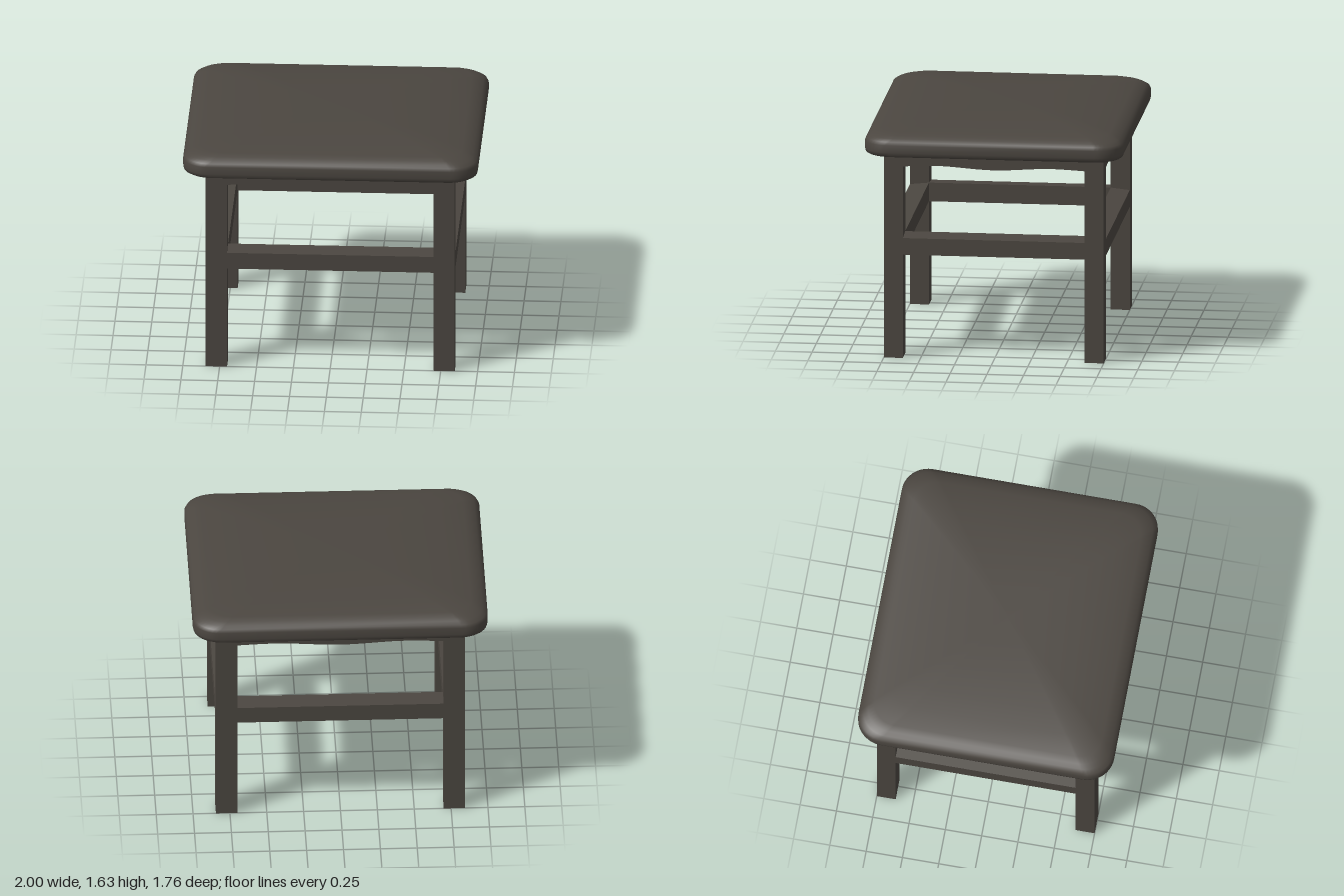
import * as THREE from 'three';

const LEG = { x0: 0.70, x1: 0.845, z0: 0.62, z1: 0.75 };
const SEAT_BOTTOM = 1.43;

// Rounded-rectangle outline of the seat in x and z
function seatOutline(halfX, halfZ, r, steps) {
  const signs = [[1, 1], [-1, 1], [-1, -1], [1, -1]];
  const points = [];
  signs.forEach(([sx, sz], k) => {
    for (let i = 0; i <= steps; i++) {
      const a = (k + i / steps) * Math.PI / 2;
      points.push([sx * (halfX - r) + r * Math.cos(a), sz * (halfZ - r) + r * Math.sin(a)]);
    }
  });
  return points;
}

// Padded seat: the outline scaled through a profile of [scale, height]
function cushionGeometry() {
  const outline = seatOutline(1, 0.88, 0.18, 10);
  const profile = [
    [0, 1.43], [0.93, 1.43], [0.98, 1.431], [0.995, 1.442], [1, 1.465], [1, 1.515],
    [0.99, 1.537], [0.965, 1.555], [0.935, 1.57], [0.89, 1.585], [0.75, 1.602],
    [0.6, 1.615], [0.4, 1.625], [0.2, 1.629], [0, 1.63],
  ];
  const n = outline.length;
  const positions = [];
  const index = [];
  for (const [s, y] of profile) {
    for (const [x, z] of outline) positions.push(x * s, y, z * s);
  }
  for (let i = 0; i < profile.length - 1; i++) {
    for (let j = 0; j < n; j++) {
      const k = (j + 1) % n;
      const a = i * n + j, b = a + n, c = i * n + k, d = c + n;
      index.push(a, b, c, b, d, c);
    }
  }
  const geometry = new THREE.BufferGeometry();
  geometry.setAttribute('position', new THREE.Float32BufferAttribute(positions, 3));
  geometry.setIndex(index);
  geometry.computeVertexNormals();
  return geometry;
}

// Rail under the seat with a shallow waved lower edge, running along x
function apronGeometry(half, depth) {
  const lower = new THREE.SplineCurve([
    [-half, 1.336], [-half * 0.58, 1.345], [0, 1.325], [half * 0.58, 1.345], [half, 1.336],
  ].map(([x, y]) => new THREE.Vector2(x, y)));
  const shape = new THREE.Shape([
    ...lower.getPoints(24),
    new THREE.Vector2(half, SEAT_BOTTOM), new THREE.Vector2(-half, SEAT_BOTTOM),
  ]);
  return new THREE.ExtrudeGeometry(shape, { depth, bevelEnabled: false });
}

// Lower rail whose top slopes gently down to the outer face
function stretcherGeometry(half, depth) {
  const section = new THREE.Shape([
    new THREE.Vector2(0, 0.72), new THREE.Vector2(depth, 0.72),
    new THREE.Vector2(depth, 0.836), new THREE.Vector2(0, 0.85),
  ]);
  const geometry = new THREE.ExtrudeGeometry(section, { depth: half * 2, bevelEnabled: false });
  // Turn the section so its length runs along x and its outer face looks to +z
  geometry.translate(0, 0, -half).scale(-1, 1, 1);
  const p = geometry.attributes.position;
  for (let i = 0; i < p.count; i++) p.setXYZ(i, p.getZ(i), p.getY(i), -p.getX(i));
  // The mirror flips the faces, so swap two corners of each triangle
  for (let i = 0; i < p.count; i += 3) {
    const b = new THREE.Vector3().fromBufferAttribute(p, i + 1);
    p.setXYZ(i + 1, p.getX(i + 2), p.getY(i + 2), p.getZ(i + 2));
    p.setXYZ(i + 2, b.x, b.y, b.z);
  }
  geometry.computeVertexNormals();
  return geometry;
}

export function createModel() {
  const stool = new THREE.Group();
  stool.name = 'stool';
  const darkBrown = new THREE.MeshStandardMaterial({ color: 0x4b4640 });
  darkBrown.name = 'dark brown';

  function add(name, geometry) {
    const mesh = new THREE.Mesh(geometry, darkBrown);
    mesh.name = name;
    stool.add(mesh);
    return mesh;
  }

  add('seatCushion', cushionGeometry());

  // Four square legs
  const legX = LEG.x1 - LEG.x0, legZ = LEG.z1 - LEG.z0;
  for (const [sx, side] of [[1, 'Left'], [-1, 'Right']]) {
    for (const [sz, end] of [[1, 'front'], [-1, 'back']]) {
      add(`${end}${side}Leg`, new THREE.BoxGeometry(legX, SEAT_BOTTOM, legZ))
        .position.set(sx * (LEG.x0 + LEG.x1) / 2, SEAT_BOTTOM / 2, sz * (LEG.z0 + LEG.z1) / 2);
    }
  }

  // Aprons and stretchers on all four sides, flush with the legs
  const sides = ['front', 'left', 'back', 'right'];
  sides.forEach((side, i) => {
    const alongX = i % 2 === 0;
    const half = alongX ? LEG.x0 : LEG.z0;
    const inner = alongX ? LEG.z0 : LEG.x0;
    const depth = alongX ? legZ : legX;
    const angle = i * Math.PI / 2;
    for (const [part, geometry] of [
      ['Apron', apronGeometry(half, depth)],
      ['Stretcher', stretcherGeometry(half, depth)],
    ]) {
      const mesh = add(side + part, geometry);
      mesh.rotation.y = angle;
      mesh.position.set(Math.sin(angle) * inner, 0, Math.cos(angle) * inner);
    }
  });

  return stool;
}
